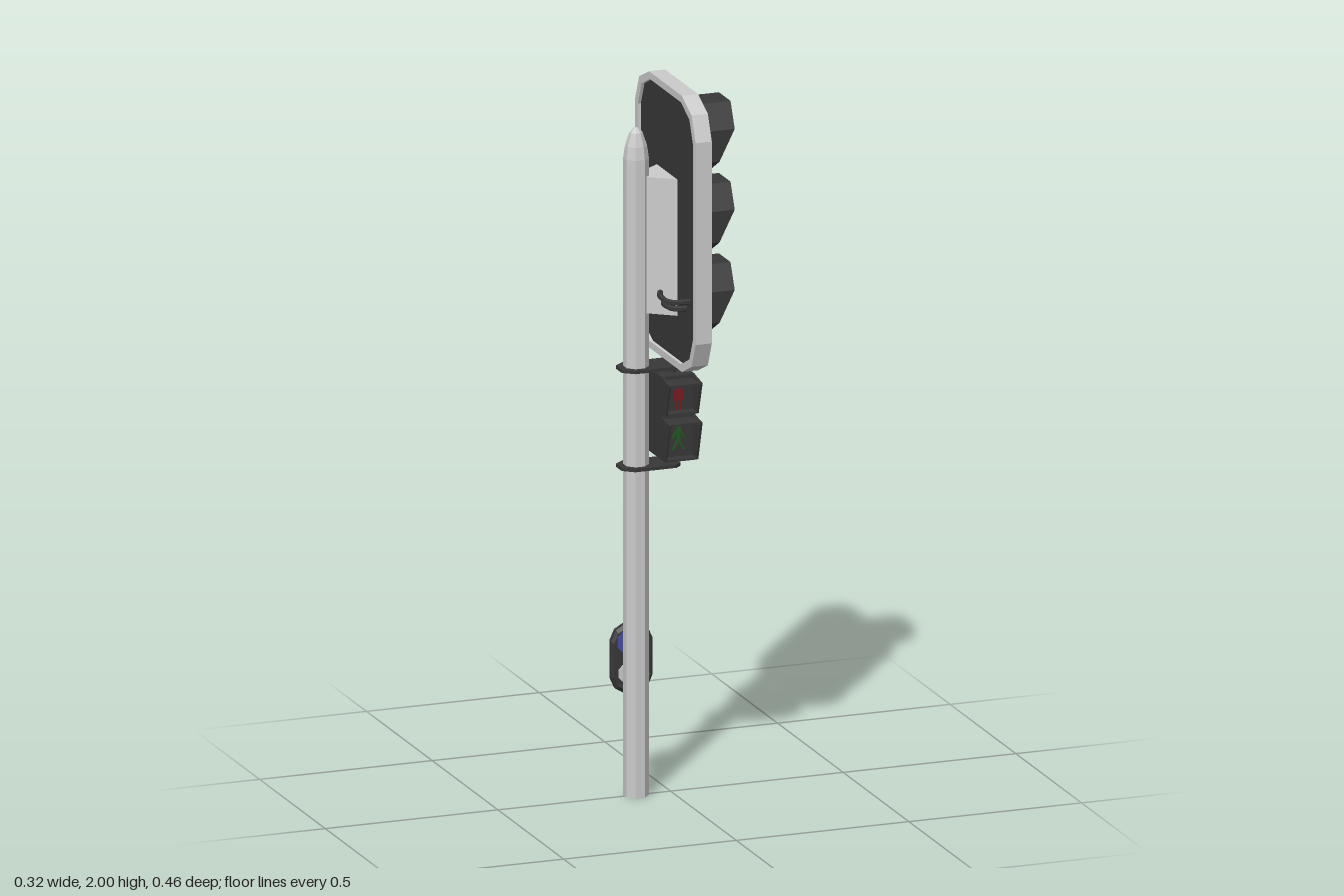
import * as THREE from 'three';

const mat = (color) => new THREE.MeshStandardMaterial({ color, flatShading: true, side: THREE.DoubleSide });
const GREY = mat(0xcccccc), DARK = mat(0x383838), RED = mat(0x7c1c20), YELLOW = mat(0x7d752c),
  GREEN = mat(0x205a20), BLUE = mat(0x4a4ea0);

function add(parent, name, geometry, material, x = 0, y = 0, z = 0) {
  const mesh = new THREE.Mesh(geometry, material);
  mesh.name = name;
  mesh.position.set(x, y, z);
  parent.add(mesh);
  return mesh;
}

const shapeOf = (pts) => new THREE.Shape(pts.map(([x, y]) => new THREE.Vector2(x, y)));
const extrude = (shape, depth) => new THREE.ExtrudeGeometry(shape, { depth, bevelEnabled: false });
const box = (w, h, d) => new THREE.BoxGeometry(w, h, d);

// Mirror one corner (from the side round to the top) into a closed outline
function mirrored(corner) {
  const back = [...corner].reverse();
  return [
    ...corner,
    ...back.map(([x, y]) => [-x, y]),
    ...corner.map(([x, y]) => [-x, -y]),
    ...back.map(([x, y]) => [x, -y]),
  ];
}

// Skin a list of closed rings of [x, y, z] points
function loft(rings, capEnd = false) {
  const n = rings[0].length, pos = rings.flat(2), index = [];
  for (let r = 0; r < rings.length - 1; r++) {
    for (let i = 0; i < n; i++) {
      const a = r * n + i, b = r * n + (i + 1) % n;
      index.push(a, b, b + n, a, b + n, a + n);
    }
  }
  if (capEnd) {
    const s = (rings.length - 1) * n;
    for (let i = 1; i < n - 1; i++) index.push(s, s + i, s + i + 1);
  }
  const g = new THREE.BufferGeometry();
  g.setAttribute('position', new THREE.Float32BufferAttribute(pos, 3));
  g.setIndex(index);
  const flat = g.toNonIndexed();
  flat.computeVertexNormals();
  return flat;
}

// Octagonal hood: long on top, cut back underneath
function visorGeometry() {
  const oct = mirrored([[0.105, 0.044], [0.044, 0.105]]);
  const reach = (y) => (y > 0.1 ? 0.157 : y > 0 ? 0.146 : y > -0.1 ? 0.102 : 0.066);
  const ring = (s, tip) => oct.map(([x, y]) => [x * s, y * s, tip ? reach(y) : 0.02]);
  return loft([ring(1, false), ring(1, true), ring(0.95, true), ring(0.95, false)]);
}

// Main signal head, modelled facing +z and then turned to face +x
function signalHead() {
  const head = new THREE.Group();
  head.name = 'signalHead';
  const outer = mirrored([[0.23, 0.285], [0.2, 0.355], [0.125, 0.39]]);
  const inner = mirrored([[0.21, 0.275], [0.183, 0.338], [0.118, 0.37]]);
  const rim = shapeOf(outer);
  rim.holes.push(shapeOf(inner));
  add(head, 'boardRim', extrude(rim, 0.047), GREY, 0, 1.61, -0.015);
  add(head, 'boardPanel', extrude(shapeOf(inner), 0.03), DARK, 0, 1.61, -0.006);
  const visor = visorGeometry();
  const lens = new THREE.CylinderGeometry(0.108, 0.108, 0.014, 8).rotateY(Math.PI / 8).rotateX(Math.PI / 2);
  [['red', 1.84, RED], ['yellow', 1.612, YELLOW], ['green', 1.385, GREEN]].forEach(([name, y, m]) => {
    add(head, name + 'Visor', visor, DARK, 0, y, 0);
    add(head, name + 'Lens', lens, m, 0, y, 0.03);
  });
  head.rotation.y = Math.PI / 2;
  return head;
}

// Small pedestrian signal facing +z
function pedestrianSignal() {
  const g = new THREE.Group();
  g.name = 'pedestrianSignal';
  add(g, 'housing', box(0.096, 0.234, 0.096), DARK, 0.004, 1.07, 0);
  const cheek = extrude(shapeOf([[0.04, 0.953], [0.075, 0.953], [0.108, 1.066], [0.052, 1.072],
    [0.052, 1.084], [0.078, 1.084], [0.108, 1.177], [0.04, 1.187]]), 0.006).rotateY(-Math.PI / 2);
  [-0.038, 0.052].forEach((x) => add(g, 'sideHood', cheek, DARK, x, 0, 0));
  [[1.174, 0.06], [1.064, 0.06], [1.086, 0.03], [0.956, 0.03]].forEach(([y, d]) =>
    add(g, 'hoodPlate', box(0.09, 0.006, d), DARK, 0.004, y, 0.047 + d / 2));

  // Standing and walking figures
  const limbs = {
    standing: [[0, 0.006, 0.016, 0.028, 0], [-0.005, -0.022, 0.006, 0.034, 0], [0.005, -0.022, 0.006, 0.034, 0],
      [-0.011, 0.004, 0.005, 0.03, 0], [0.011, 0.004, 0.005, 0.03, 0]],
    walking: [[0, 0.006, 0.012, 0.028, 0], [-0.008, -0.022, 0.006, 0.034, -0.45], [0.008, -0.022, 0.006, 0.034, 0.45],
      [-0.011, 0.006, 0.005, 0.026, -0.5], [0.011, 0.006, 0.005, 0.026, 0.5]],
  };
  [['standing', 1.128, RED], ['walking', 1.015, GREEN]].forEach(([name, y, m]) => {
    const figure = new THREE.Group();
    figure.name = name + 'Figure';
    figure.position.set(0.004, y, 0.049);
    add(figure, 'head', new THREE.CylinderGeometry(0.007, 0.007, 0.003, 8).rotateX(Math.PI / 2), m, 0, 0.028, 0);
    limbs[name].forEach(([x, dy, w, h, tilt]) => {
      add(figure, 'limb', box(w, h, 0.003), m, x, dy, 0).rotation.z = tilt;
    });
    g.add(figure);
  });

  // Clamp plates round the pole, joined to the housing by short stubs
  const plate = extrude(shapeOf([[0.017, -0.03], [0.017, 0.03], [0, 0.047], [-0.12, 0.047], [-0.15, 0.022],
    [-0.15, -0.022], [-0.12, -0.047], [0, -0.047]]), 0.009).rotateX(-Math.PI / 2);
  const stub = new THREE.CylinderGeometry(0.017, 0.017, 0.026, 8);
  [[1.203, 1.195], [0.926, 0.945]].forEach(([py, sy]) => {
    add(g, 'clampPlate', plate, DARK, 0, py, 0);
    add(g, 'clampStub', stub, DARK, 0, sy, 0);
  });
  return g;
}

// Push-button unit, modelled facing +z and then turned to face -z
function pushButton() {
  const g = new THREE.Group();
  g.name = 'pushButtonUnit';
  const outline = mirrored([[0.06, 0.052], [0.046, 0.083], [0.02, 0.098]]);
  const ring = (s, z) => outline.map(([x, y]) => [x * s, y * s, z]);
  add(g, 'buttonCase', loft([ring(0.9, 0.024), ring(1, 0.032), ring(1, 0.046), ring(0.86, 0.06)], true), DARK);
  const disc = (r, d) => new THREE.CylinderGeometry(r, r, d, 8).rotateY(Math.PI / 8).rotateX(Math.PI / 2);
  add(g, 'signDisc', disc(0.034, 0.004), BLUE, 0, 0.038, 0.06);
  const arrow = shapeOf([[-0.005, -0.024], [0.005, -0.024], [0.005, 0.004], [0.018, -0.004], [0.018, 0.007],
    [0, 0.026], [-0.018, 0.007], [-0.018, -0.004], [-0.005, 0.004]]);
  add(g, 'signArrow', extrude(arrow, 0.002), GREY, 0, 0.038, 0.062);
  add(g, 'buttonCollar', disc(0.03, 0.008), GREY, 0, -0.05, 0.06);
  add(g, 'button', disc(0.022, 0.018), GREY, 0, -0.05, 0.066);
  g.position.set(-0.1, 0.378, 0);
  g.rotation.y = Math.PI;
  return g;
}

export function createModel() {
  const model = new THREE.Group();
  model.name = 'trafficLight';

  // Octagonal pole with a rounded tip
  const profile = [[0, 0], [0.035, 0], [0.035, 1.8], [0.03, 1.835], [0.018, 1.872], [0.006, 1.885], [0, 1.886]];
  const pole = new THREE.LatheGeometry(profile.map(([r, y]) => new THREE.Vector2(r, y)), 8).rotateY(Math.PI / 8);
  add(model, 'pole', pole, GREY, -0.1, 0, 0);

  // Wedge-shaped bracket between pole and board
  const wedge = shapeOf([[-0.1, -0.01], [-0.01, -0.078], [-0.01, 0.078], [-0.1, 0.01]]);
  add(model, 'bracket', extrude(wedge, 0.385).rotateX(-Math.PI / 2), GREY, 0, 1.365, 0);

  // Cables looping from the bracket to the back of the board
  [[[-0.035, 0.035], [-0.055, 0.06], [-0.064, 0.12], [-0.052, 0.157], [-0.005, 0.161]],
    [[-0.03, 0.035], [-0.044, 0.06], [-0.048, 0.11], [-0.035, 0.13], [-0.005, 0.137]]].forEach((pts, i) => {
    const path = new THREE.CatmullRomCurve3(pts.map(([x, z]) => new THREE.Vector3(x, 1.428 - i * 0.026, z)));
    add(model, 'cable', new THREE.TubeGeometry(path, 8, 0.008, 6), DARK);
  });

  model.add(signalHead(), pedestrianSignal(), pushButton());
  return model;
}
